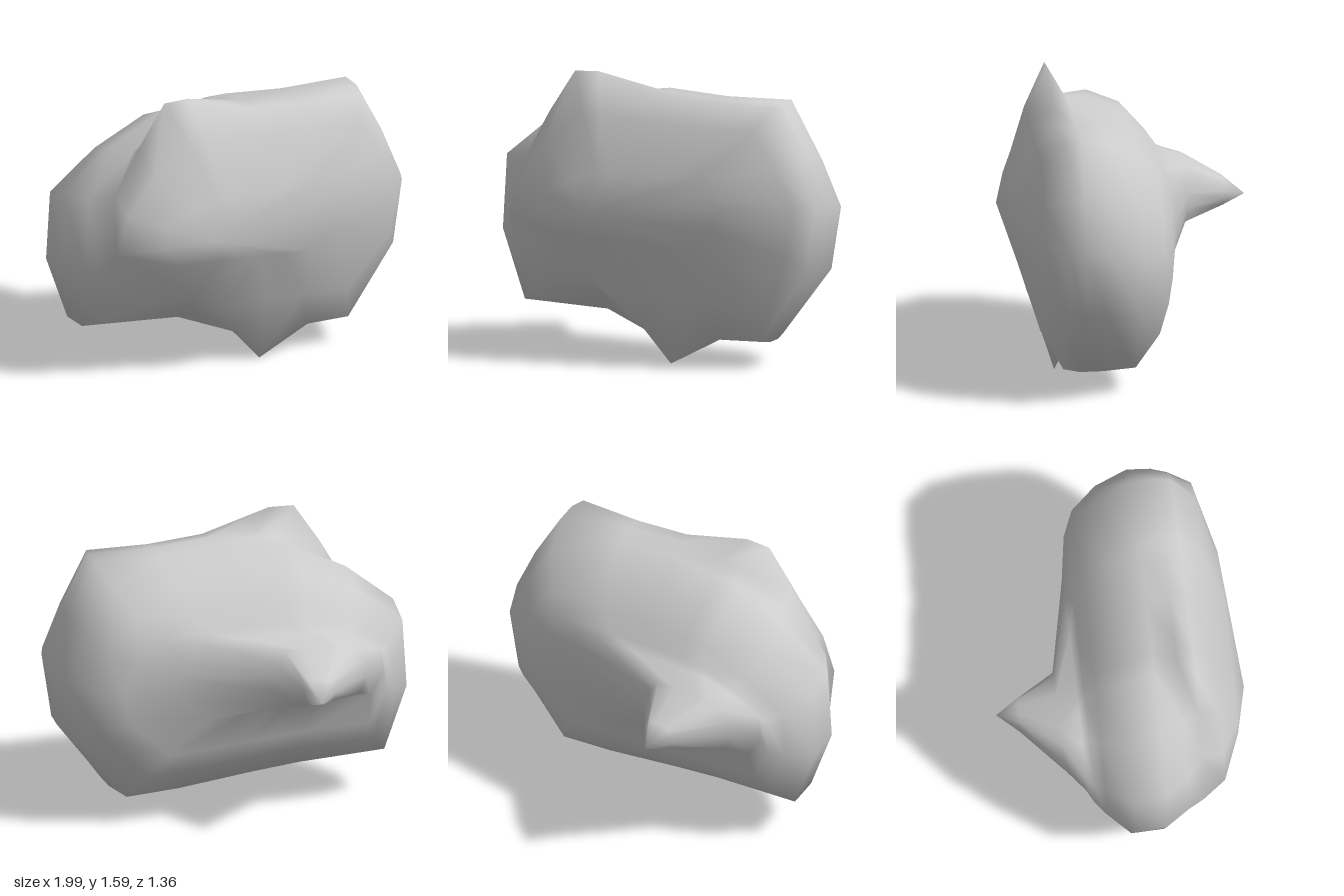
import * as THREE from 'three';

// Front outline of the body: direction in degrees and distance from its middle.
const ANGLES = [5, 22, 42, 62, 90, 113, 122, 146, 166, 190, 213, 238, 263, 277, 297, 313, 343];
const RADII = [1, .95, .97, .73, .67, .69, .74, .84, 1, 1.01, 1.03, .69, .62, .64, .75, .94, .98];

// The outline repeated from front to back: depth, middle and scale.
const SECTIONS = [
  { z: 0.62, x: -0.04, y: 0.87, sx: 0.52, sy: 0.29 },
  { z: 0.52, x: 0.02, y: 0.86, sx: 0.86, sy: 0.73 },
  { z: 0.40, x: 0.05, y: 0.82, sx: 0.91, sy: 0.97 },
  { z: 0.31, x: 0.04, y: 0.82, sx: 0.95, sy: 0.99 },
  { z: 0.18, x: 0, y: 0.82, sx: 1, sy: 0.99 },
  { z: 0.00, x: -0.03, y: 0.78, sx: 0.97, sy: 0.93 },
  { z: -0.14, x: -0.035, y: 0.78, sx: 0.855, sy: 0.69 },
  { z: -0.20, x: -0.08, y: 0.80, sx: 0.75, sy: 0.52 },
  { z: -0.24, x: -0.20, y: 0.88, sx: 0.60, sy: 0.34 },
  { z: -0.35, x: -0.40, y: 0.89, sx: 0.27, sy: 0.24 },
  { z: -0.56, x: -0.34, y: 0.875, sx: 0.09, sy: 0.11 },
];
const FRONT_TIP = [-0.3, 0.84, 0.68];
const BACK_TIP = [-0.32, 0.85, -0.68];

// Corners pulled away from the outline: section, corner, then x and y.
const PULLS = [
  // top crest and the edge running down its left
  [1, 5, -0.27, 1.36], [1, 6, -0.37, 1.36], [2, 5, -0.33, 1.585], [2, 6, -0.47, 1.58],
  [2, 7, -0.62, 1.35], [1, 7, -0.59, 1.2], [2, 8, -0.77, 1.08], [1, 8, -0.74, 1], [1, 9, -0.81, 0.79],
  // bottom spur and the edge running up its left
  [2, 13, 0.1, 0], [2, 14, 0.39, 0.15], [2, 12, -0.06, 0.18], [1, 12, -0.2, 0.36], [1, 11, -0.34, 0.46],
  // hollow at the lower left of the front
  [1, 10, -0.48, 0.55], [2, 10, -0.7, 0.4], [2, 11, -0.32, 0.38], [3, 10, -0.79, 0.32], [3, 11, -0.35, 0.28],
];

// Joins the sections into one closed skin with a point at each end.
function skinGeometry() {
  const n = ANGLES.length;
  const positions = [];
  const index = [];
  for (const s of SECTIONS) {
    ANGLES.forEach((degrees, k) => {
      const a = THREE.MathUtils.degToRad(degrees);
      positions.push(s.x + s.sx * RADII[k] * Math.cos(a), s.y + s.sy * RADII[k] * Math.sin(a), s.z);
    });
  }
  for (const [section, corner, x, y] of PULLS) {
    positions.splice(3 * (section * n + corner), 2, x, y);
  }
  const front = SECTIONS.length * n;
  const back = front + 1;
  const last = front - n;
  positions.push(...FRONT_TIP, ...BACK_TIP);

  for (let k = 0; k < n; k++) {
    const next = (k + 1) % n;
    for (let row = 0; row < last; row += n) {
      const a = row + k, b = row + next;
      index.push(a, a + n, b, b, a + n, b + n);
    }
    index.push(front, k, next, back, last + next, last + k);
  }

  const geometry = new THREE.BufferGeometry();
  geometry.setAttribute('position', new THREE.Float32BufferAttribute(positions, 3));
  geometry.setIndex(index);
  geometry.computeVertexNormals();
  return geometry;
}

export function createModel() {
  const group = new THREE.Group();
  group.name = 'rock';
  const boulder = new THREE.Mesh(skinGeometry(), new THREE.MeshStandardMaterial({ color: 0xcccccc }));
  boulder.name = 'boulder';
  group.add(boulder);
  return group;
}
